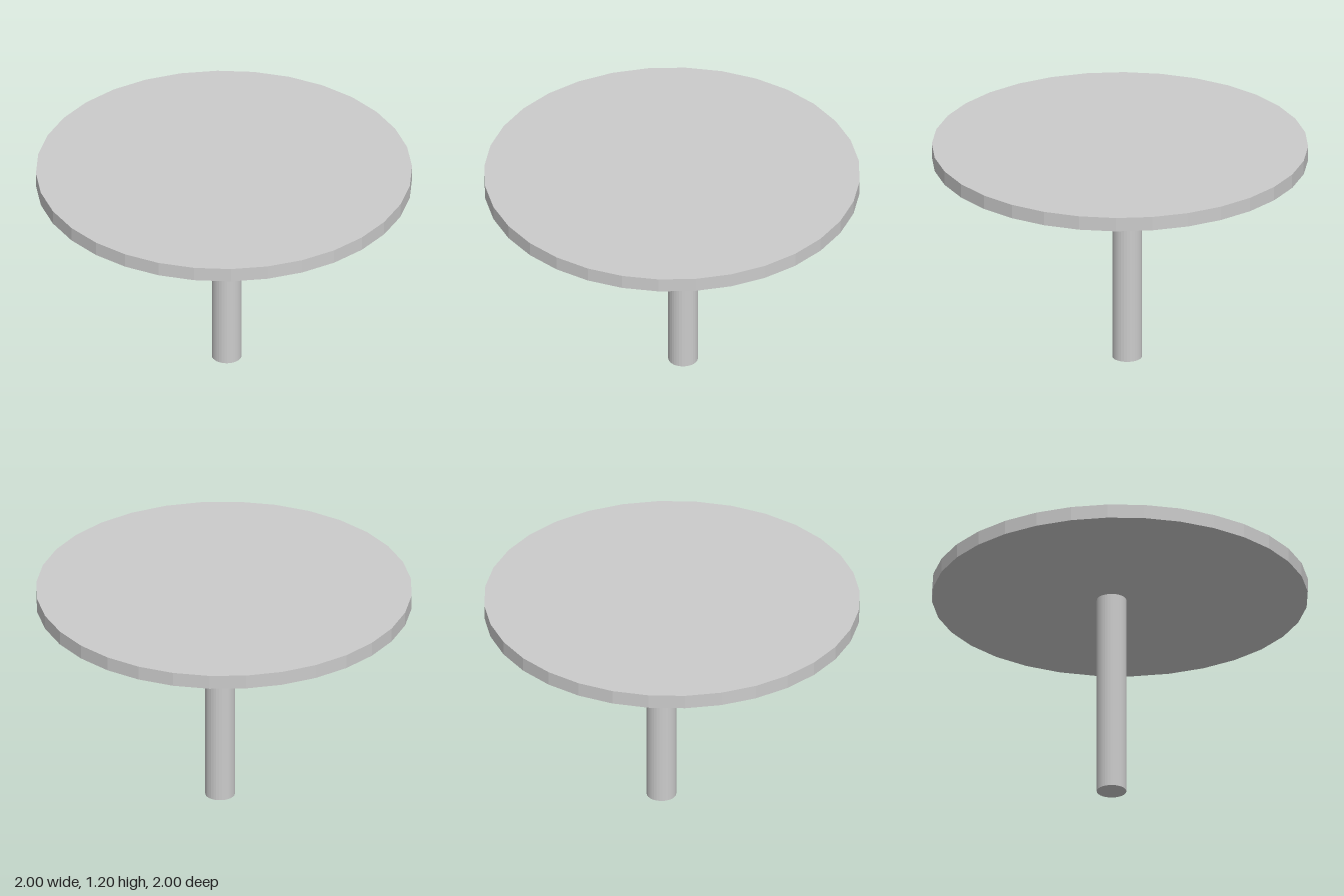
import * as THREE from 'three';

const SIDES = 32;

// Faceted upright disc or post spanning two heights
function post(name, radius, bottom, top, x = 0, z = 0) {
  const material = new THREE.MeshStandardMaterial({ color: 0xcccccc, flatShading: true });
  const mesh = new THREE.Mesh(
    new THREE.CylinderGeometry(radius, radius, top - bottom, SIDES), material);
  mesh.position.set(x, (bottom + top) / 2, z);
  mesh.name = name;
  return mesh;
}

export function createModel() {
  const table = new THREE.Group();
  table.name = 'roundTable';

  // Round top
  table.add(post('tableTop', 1, 1.12, 1.197));

  // Single leg, set slightly behind the centre
  table.add(post('leg', 0.079, 0, 1.12, -0.007, -0.06));

  return table;
}
